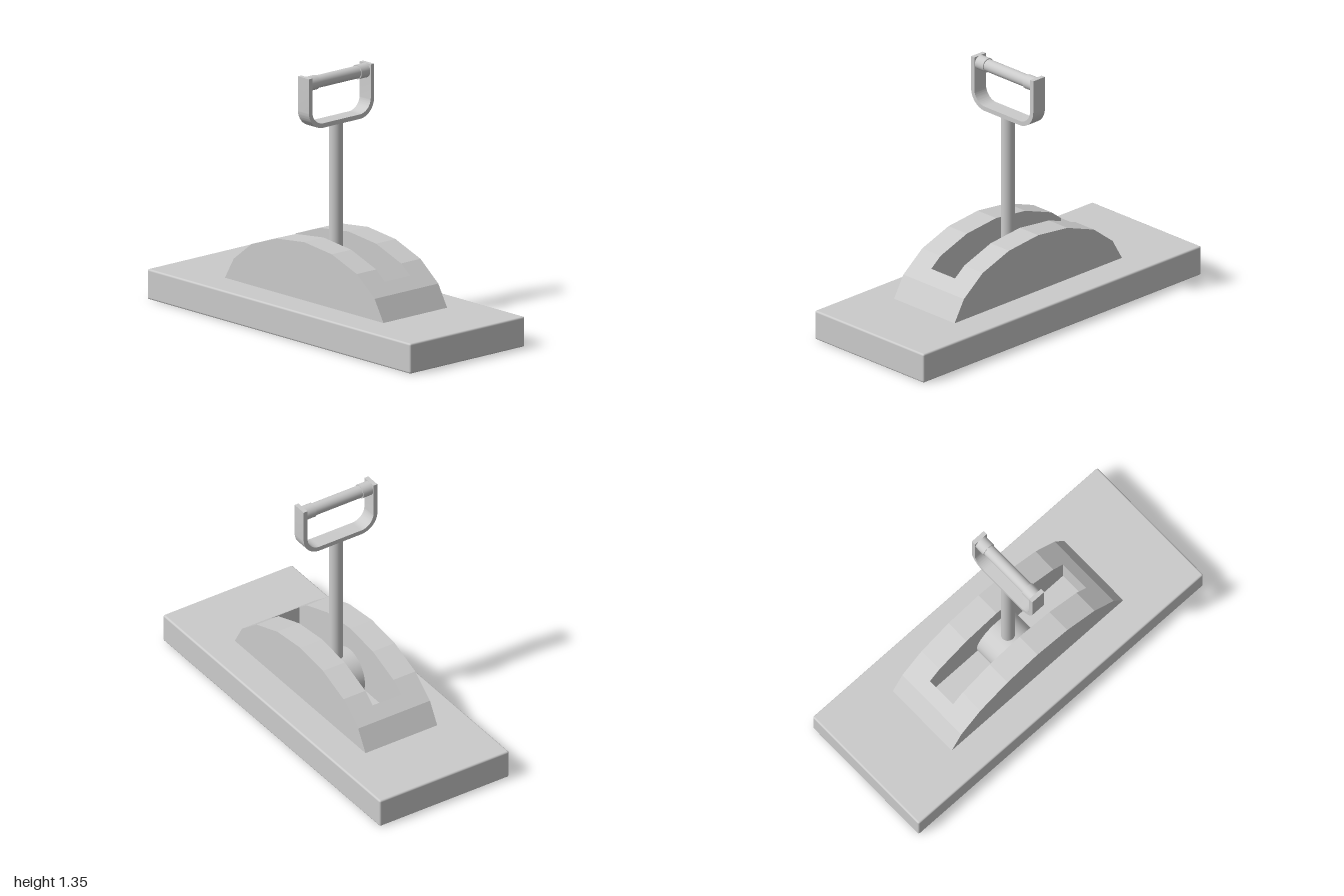
import * as THREE from 'three';
import { toCreasedNormals } from 'three/addons/utils/BufferGeometryUtils.js';
import { RoundedBoxGeometry } from 'three/addons/geometries/RoundedBoxGeometry.js';

const material = new THREE.MeshStandardMaterial({ color: 0xcccccc });

function add(parent, name, geometry, x = 0, y = 0, z = 0) {
  const mesh = new THREE.Mesh(geometry, material);
  mesh.name = name;
  mesh.position.set(x, y, z);
  parent.add(mesh);
  return mesh;
}

// Prism with a [z, y] side profile, centred across its width in x
function sidePrism(points, width) {
  const shape = new THREE.Shape(points.map(([z, y]) => new THREE.Vector2(z, y)));
  return new THREE.ExtrudeGeometry(shape, { depth: width, bevelEnabled: false })
    .translate(0, 0, -width / 2)
    .rotateY(-Math.PI / 2);
}

function rodAlongX(radius, length, sides = 32) {
  return new THREE.CylinderGeometry(radius, radius, length, sides).rotateZ(Math.PI / 2);
}

export function createModel() {
  const model = new THREE.Group();
  model.name = 'leverSwitch';

  // Base slab
  add(model, 'base', new RoundedBoxGeometry(0.8, 0.16, 2, 3, 0.01), 0, 0.08, 0);

  // Arched housing: two cheeks joined by end blocks around an open slot
  const housing = new THREE.Group();
  housing.name = 'housing';
  model.add(housing);
  const half = [[0.605, 0.155], [0.535, 0.275], [0.4, 0.38], [0.21, 0.447]];
  const arch = [...half, [0, 0.47], ...half.map(([z, y]) => [-z, y]).reverse()];
  const slot = 0.087, outer = 0.222, slotEnd = 0.467;
  const endBlock = [[slotEnd, 0.155], [0.605, 0.155], [0.535, 0.275], [slotEnd, 0.328]];
  for (const side of [-1, 1]) {
    add(housing, 'cheek', sidePrism(arch, outer - slot), side * (outer + slot) / 2);
    const block = endBlock.map(([z, y]) => [side * z, y]);
    add(housing, 'endBlock', sidePrism(block, slot * 2));
  }

  // Pivot drum inside the slot
  add(model, 'pivotDrum', rodAlongX(0.137, slot * 2, 40), 0, 0.2, 0);

  // Lever stem
  add(model, 'stem', new THREE.CylinderGeometry(0.037, 0.037, 0.79, 32), 0, 0.685, 0);

  // U-shaped handle strap
  const handle = new THREE.Group();
  handle.name = 'handle';
  model.add(handle);
  const w = 0.228, t = 0.024, top = 1.346, low = 1.07, r = 0.1;
  const strap = new THREE.Shape();
  strap.moveTo(-w, top);
  strap.lineTo(-w, low + r);
  strap.absarc(-w + r, low + r, r, Math.PI, Math.PI * 1.5, false);
  strap.absarc(w - r, low + r, r, Math.PI * 1.5, Math.PI * 2, false);
  strap.lineTo(w, top);
  strap.lineTo(w - t, top);
  strap.absarc(w - r, low + r, r - t, 0, -Math.PI / 2, true);
  strap.absarc(-w + r, low + r, r - t, -Math.PI / 2, -Math.PI, true);
  strap.lineTo(-w + t, top);
  const strapGeometry = new THREE.ExtrudeGeometry(strap, {
    depth: 0.084, bevelEnabled: false, curveSegments: 12,
  }).translate(0, 0, -0.042);
  add(handle, 'strap', toCreasedNormals(strapGeometry, 0.5));

  // Grip bar and its end collars
  add(handle, 'gripBar', rodAlongX(0.033, 0.42), 0, 1.308, 0);
  for (const side of [-1, 1]) {
    add(handle, 'gripCollar', rodAlongX(0.038, 0.063), side * 0.176, 1.308, 0);
  }

  return model;
}
